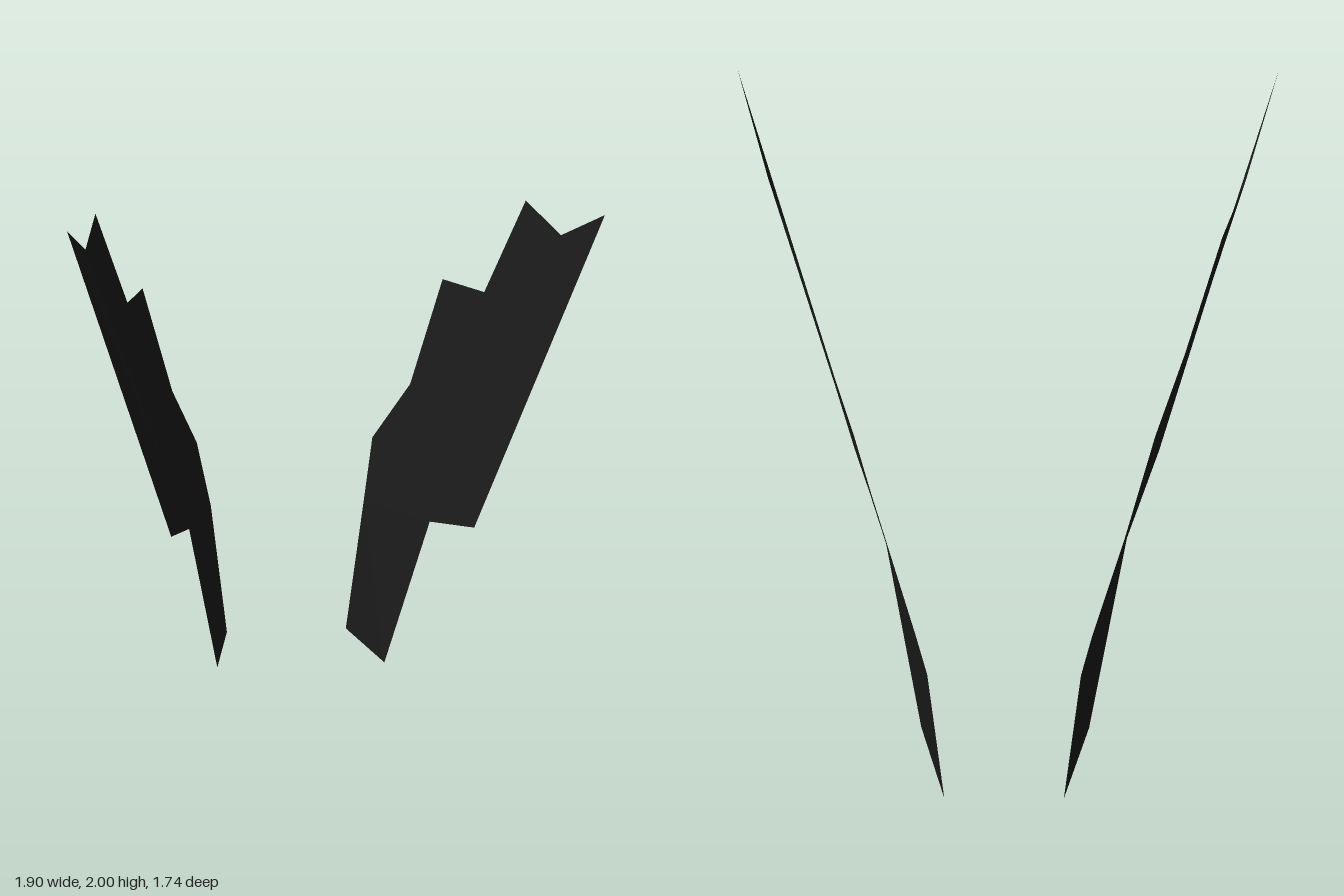
import * as THREE from 'three';

// Outline corners [x, y, z] of the left wing; the two panels share one fold edge
const foldBack = [0.27, 0.475, -0.78];
const foldFront = [0.425, 0.62, -0.03];
const panels = {
  upperPanel: [
    foldFront, [0.535, 0.73, 0.42], [0.95, 2, 0.87], [0.84, 1.8, 0.44],
    [0.76, 1.8, 0.01], [0.63, 1.42, -0.15], [0.53, 1.335, -0.6],
    [0.42, 0.94, -0.645], [0.31, 0.68, -0.87], foldBack,
  ],
  lowerPanel: [foldBack, [0.21, 0, -0.81], [0.295, 0.02, -0.32], foldFront],
};

// Fills an outline with triangles facing outward on the given side (+1 left, -1 right)
function panelGeometry(points, side) {
  const outline = points.map(([, y, z]) => new THREE.Vector2(z, y));
  const positions = [];
  for (const [a, b, c] of THREE.ShapeUtils.triangulateShape(outline, [])) {
    for (const i of side > 0 ? [a, c, b] : [a, b, c]) {
      const [x, y, z] = points[i];
      positions.push(side * x, y, z);
    }
  }
  const geometry = new THREE.BufferGeometry();
  geometry.setAttribute('position', new THREE.Float32BufferAttribute(positions, 3));
  geometry.computeVertexNormals();
  return geometry;
}

export function createModel() {
  const black = new THREE.MeshStandardMaterial({ color: 0x1c1c1c, side: THREE.DoubleSide });
  black.name = 'black';

  const model = new THREE.Group();
  model.name = 'wings';
  for (const side of [1, -1]) {
    const wing = new THREE.Group();
    wing.name = side > 0 ? 'leftWing' : 'rightWing';
    for (const [name, points] of Object.entries(panels)) {
      const mesh = new THREE.Mesh(panelGeometry(points, side), black);
      mesh.name = name;
      wing.add(mesh);
    }
    model.add(wing);
  }
  return model;
}
